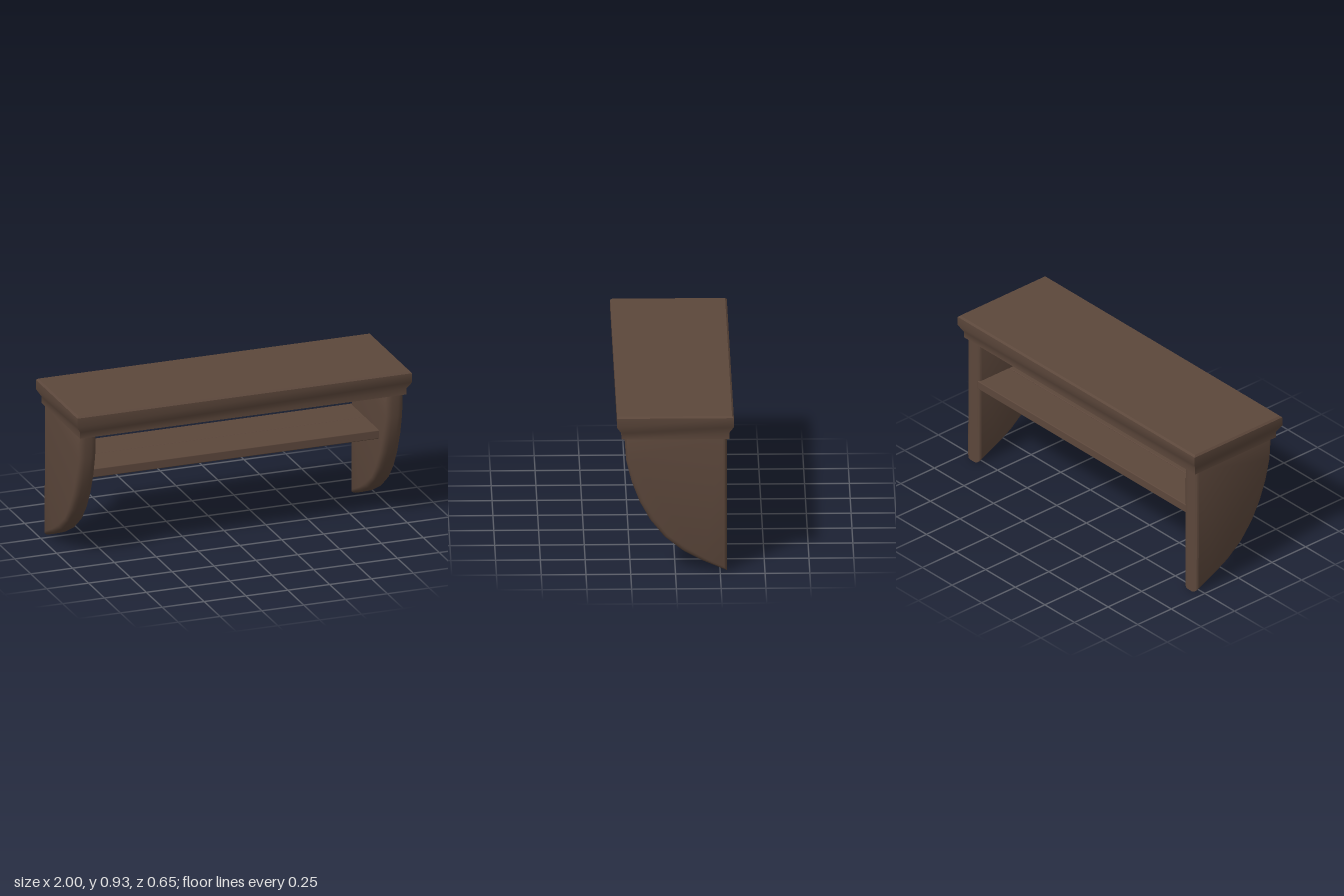
import * as THREE from 'three';
import { toCreasedNormals } from 'three/addons/utils/BufferGeometryUtils.js';
import { RoundedBoxGeometry } from 'three/addons/geometries/RoundedBoxGeometry.js';

const wood = new THREE.MeshStandardMaterial({ color: 0x5c473b });
wood.name = 'dark brown wood';

function part(name, geometry, parent) {
  const mesh = new THREE.Mesh(geometry, wood);
  mesh.name = name;
  parent.add(mesh);
  return mesh;
}

// Stack of rectangles [halfX, halfZ, y] joined from bottom to top, with caps
function moulding(levels) {
  const pos = [];
  const ring = ([hx, hz, y]) =>
    [[1, 1], [1, -1], [-1, -1], [-1, 1]].map(([sx, sz]) => [sx * hx, y, sz * hz]);
  const quad = (a, b, c, d) => pos.push(...a, ...b, ...c, ...a, ...c, ...d);
  const rings = levels.map(ring);
  for (let i = 0; i < rings.length - 1; i++) {
    for (let k = 0; k < 4; k++) {
      const n = (k + 1) % 4;
      quad(rings[i][k], rings[i][n], rings[i + 1][n], rings[i + 1][k]);
    }
  }
  quad(...rings[rings.length - 1]);
  quad(...[...rings[0]].reverse());
  const g = new THREE.BufferGeometry();
  g.setAttribute('position', new THREE.Float32BufferAttribute(pos, 3));
  return toCreasedNormals(g, 0.7);
}

// Side bracket: quarter-curve outline (z, y) with softened edges
function bracketGeometry() {
  const outline = [
    [-0.29, 0], [-0.15, 0.06], [-0.04, 0.12], [0.06, 0.2], [0.14, 0.3],
    [0.2, 0.41], [0.245, 0.53], [0.275, 0.655], [0.286, 0.82], [-0.29, 0.82],
  ];
  const shape = new THREE.Shape(outline.map(([z, y]) => new THREE.Vector2(-z, y)));
  const core = 0.036, bevel = 0.034;
  const g = new THREE.ExtrudeGeometry(shape, {
    depth: core, bevelEnabled: true, bevelThickness: bevel,
    bevelSize: 0.026, bevelOffset: -0.026, bevelSegments: 3,
  });
  g.translate(0, 0, -core / 2);
  g.rotateY(Math.PI / 2);
  return toCreasedNormals(g, 0.6);
}

export function createModel() {
  const group = new THREE.Group();
  group.name = 'wallShelf';

  // Top board with a stepped moulding
  part('topBoard', moulding([
    [0.975, 0.301, 0.788], [0.975, 0.301, 0.825], [1, 0.326, 0.866],
    [1, 0.326, 0.92], [0.99, 0.316, 0.93],
  ]), group);

  // Brackets at both ends
  const bracket = bracketGeometry();
  for (const side of [1, -1]) {
    part(side > 0 ? 'leftBracket' : 'rightBracket', bracket, group).position.x = side * 0.917;
  }

  // Lower shelf of two planks side by side
  const plank = new RoundedBoxGeometry(1.76, 0.052, 0.224, 2, 0.005);
  [['backPlank', -0.174], ['frontPlank', 0.05]].forEach(([name, z]) => {
    part(name, plank, group).position.set(0, 0.514, z);
  });

  return group;
}
